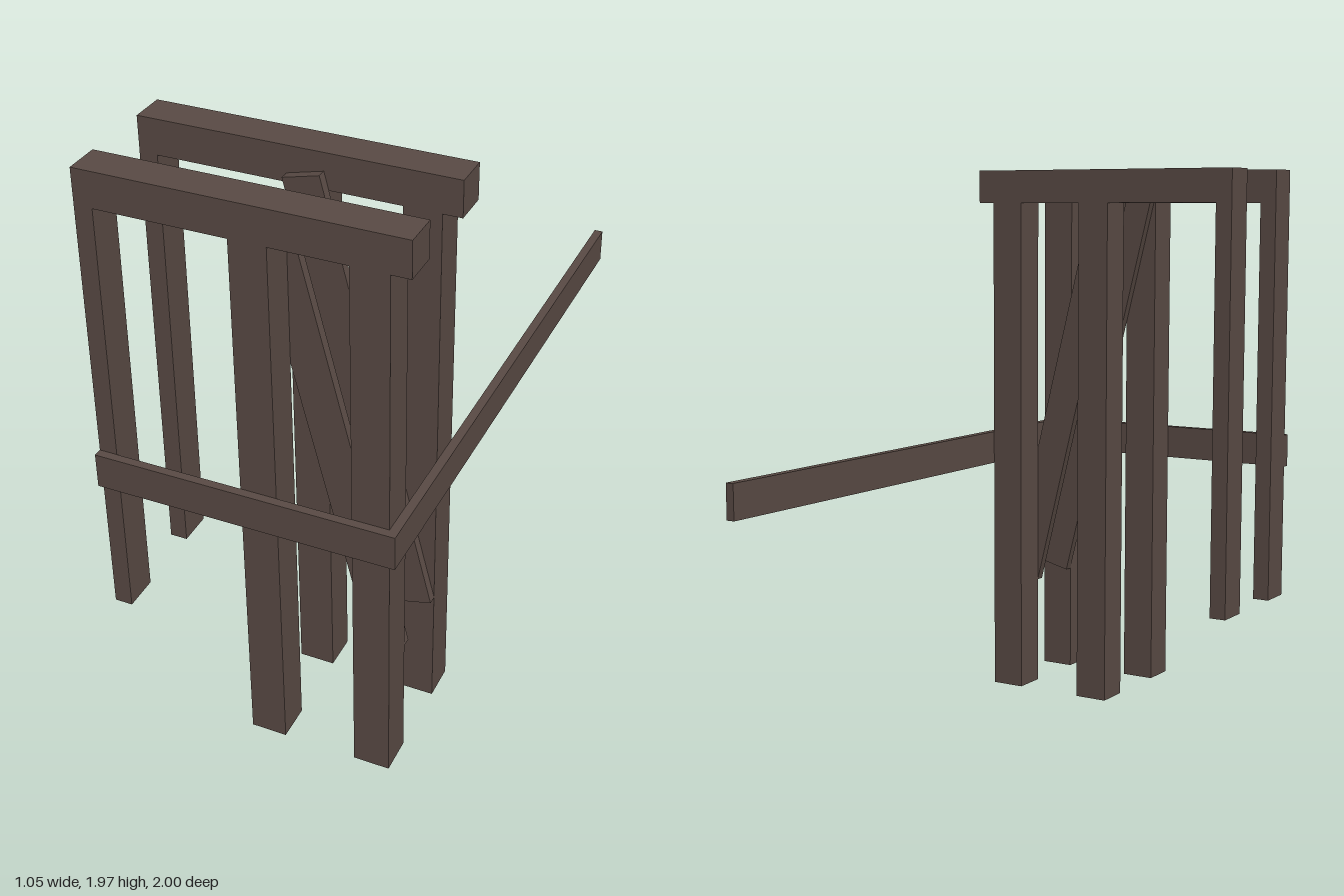
import * as THREE from 'three';

export function createModel() {
  const model = new THREE.Group();
  model.name = 'timberFrame';
  const darkWood = new THREE.MeshStandardMaterial({ color: 0x5a4b45 });
  darkWood.name = 'darkWood';

  // Timber spanning the given limits on each axis
  function timber(parent, name, [x0, x1], [y0, y1], [z0, z1]) {
    const mesh = new THREE.Mesh(new THREE.BoxGeometry(x1 - x0, y1 - y0, z1 - z0), darkWood);
    mesh.position.set((x0 + x1) / 2, (y0 + y1) / 2, (z0 + z1) / 2);
    mesh.name = name;
    parent.add(mesh);
    return mesh;
  }

  // Two frames, mirrored so their braces face each other
  for (const [name, z, inward] of [['frontFrame', 0.91, -1], ['backFrame', 0.54, 1]]) {
    const frame = new THREE.Group();
    frame.name = name;
    frame.position.z = z;
    const depth = [-0.061, 0.061];
    timber(frame, 'topBeam', [-0.524, 0.522], [1.85, 1.97], depth);
    timber(frame, 'middlePost', [-0.031, 0.09], [0, 1.85], depth);
    timber(frame, 'leftPost', [0.338, 0.46], [0, 1.85], depth);
    timber(frame, 'hangingPost', [-0.524, -0.463], [0.372, 1.85], depth);

    // Slanted brace on the inner face
    const brace = new THREE.Mesh(new THREE.BoxGeometry(0.125, 1.525, 0.031), darkWood);
    brace.name = 'brace';
    brace.position.set(0.215, 1.155, inward * 0.0765);
    brace.rotation.z = Math.atan2(0.37, 1.48);
    frame.add(brace);
    model.add(frame);
  }

  // Rails meeting at the front corner
  timber(model, 'frontRail', [-0.524, 0.46], [0.865, 0.985], [0.971, 1]);
  timber(model, 'sideRail', [0.46, 0.49], [0.865, 0.985], [-1, 1]);
  return model;
}
